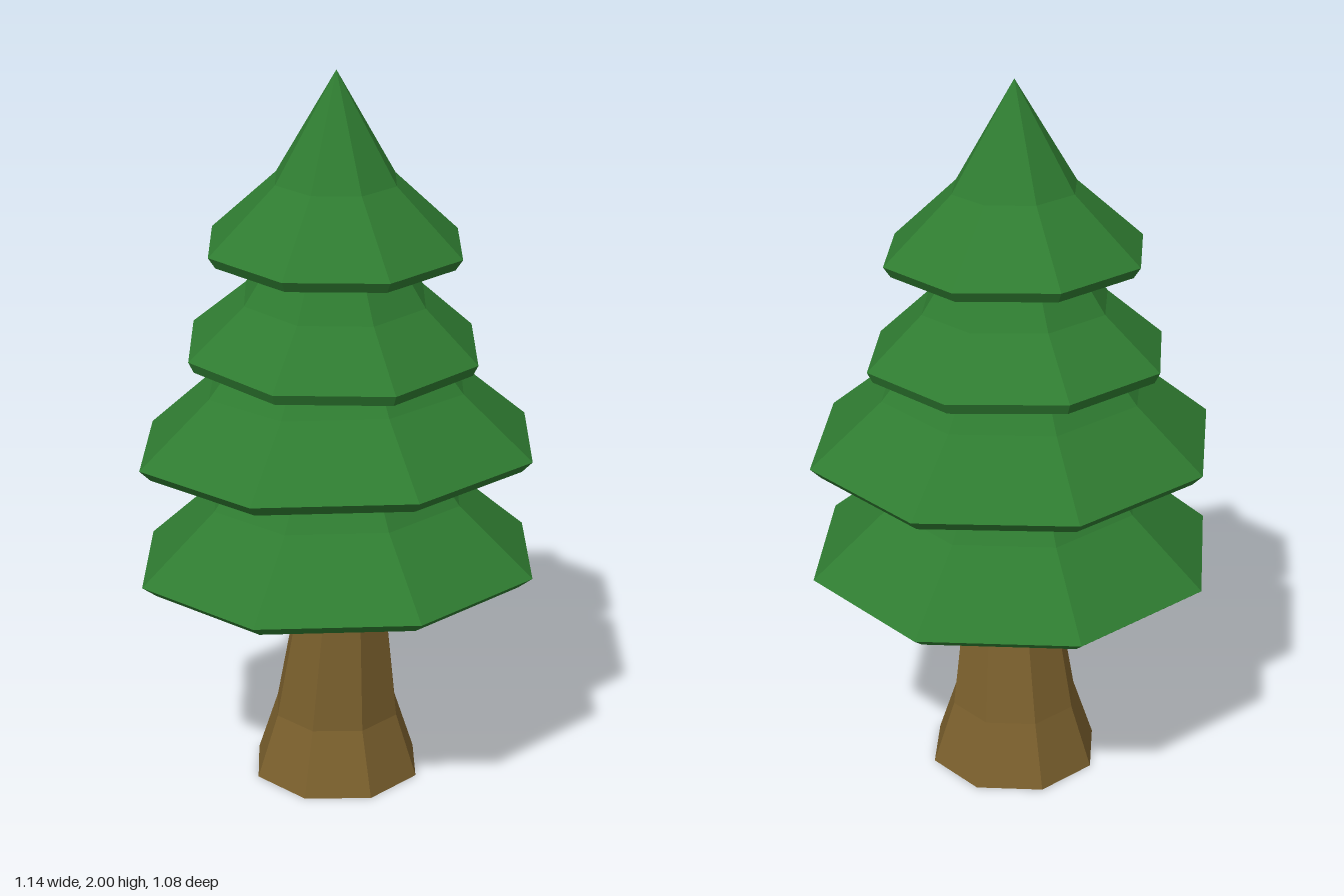
import * as THREE from 'three';

const SIDES = 8;

// Skins a stack of octagonal rings, listed from top to bottom on the outside.
// ring: { rx, rz, y, cz, tilt }; a ring with rx = 0 is a point.
function loft(rings, capBottom = false) {
  const corner = (r, i) => {
    const a = (i % SIDES) / SIDES * Math.PI * 2;
    const dz = Math.cos(a) * r.rz;
    return [Math.sin(a) * r.rx, r.y + dz * r.tilt, r.cz + dz];
  };
  const pos = [];
  for (let k = 0; k < rings.length - 1; k++) {
    const up = rings[k], low = rings[k + 1];
    for (let i = 0; i < SIDES; i++) {
      const a = corner(up, i), b = corner(up, i + 1);
      const c = corner(low, i), d = corner(low, i + 1);
      if (low.rx > 0) pos.push(...c, ...d, ...b);
      if (up.rx > 0) pos.push(...c, ...b, ...a);
    }
  }
  if (capBottom) {
    const r = rings[rings.length - 1];
    for (let i = 0; i < SIDES; i++) pos.push(...corner(r, i + 1), ...corner(r, i), 0, r.y, r.cz);
  }
  const g = new THREE.BufferGeometry();
  g.setAttribute('position', new THREE.Float32BufferAttribute(pos, 3));
  g.computeVertexNormals();
  return g;
}

// One hollow skirt of branches: steep crown, flared skirt, thin lip, inner shell
function tierGeometry({ rx, rz, y, cz, tilt, midR, midY, apexY, lip }) {
  const squash = rz / rx;
  const ring = (r, h, z = cz) => ({ rx: r, rz: r * squash, y: h, cz: z, tilt });
  return loft([
    ring(0, apexY, -0.01),
    ring(midR, midY, (cz - 0.01) / 2),
    ring(rx, y),
    ring(rx - lip, y - 0.03),
    ring(midR - 0.03, midY - 0.04, (cz - 0.01) / 2),
    ring(0, apexY - 0.08, -0.01),
  ]);
}

export function createModel() {
  const tree = new THREE.Group();
  tree.name = 'pineTree';

  const needles = new THREE.MeshStandardMaterial({ color: 0x2f7c31, flatShading: true });
  needles.name = 'needle green';
  const bark = new THREE.MeshStandardMaterial({ color: 0x7b602d, flatShading: true });
  bark.name = 'bark brown';

  // Trunk: flared foot, slight bend, top hidden inside the lowest tier
  const trunkRings = [
    [0, 0.95, 0.01], [0.11, 0.95, 0.01], [0.128, 0.62, 0.01],
    [0.135, 0.49, 0.02], [0.18, 0.18, -0.01], [0.24, 0, -0.01],
  ].map(([r, y, cz]) => ({ rx: r, rz: r, y, cz, tilt: 0 }));
  const trunk = new THREE.Mesh(loft(trunkRings, true), bark);
  trunk.name = 'trunk';
  tree.add(trunk);

  // Branch tiers, bottom to top, each leaning a little differently
  const tiers = [
    { rx: 0.572, rz: 0.542, y: 0.645, cz: 0, tilt: 0.028, midR: 0.36, midY: 0.83, apexY: 1.32, lip: 0.04 },
    { rx: 0.57, rz: 0.52, y: 0.98, cz: 0, tilt: 0.018, midR: 0.37, midY: 1.15, apexY: 1.6, lip: 0.03 },
    { rx: 0.415, rz: 0.405, y: 1.252, cz: -0.032, tilt: -0.055, midR: 0.26, midY: 1.39, apexY: 1.78, lip: 0.015 },
    { rx: 0.36, rz: 0.35, y: 1.535, cz: -0.017, tilt: -0.043, midR: 0.172, midY: 1.71, apexY: 2, lip: 0.02 },
  ];
  tiers.forEach((t, i) => {
    const mesh = new THREE.Mesh(tierGeometry(t), needles);
    mesh.name = `branchTier${i + 1}`;
    tree.add(mesh);
  });

  return tree;
}
